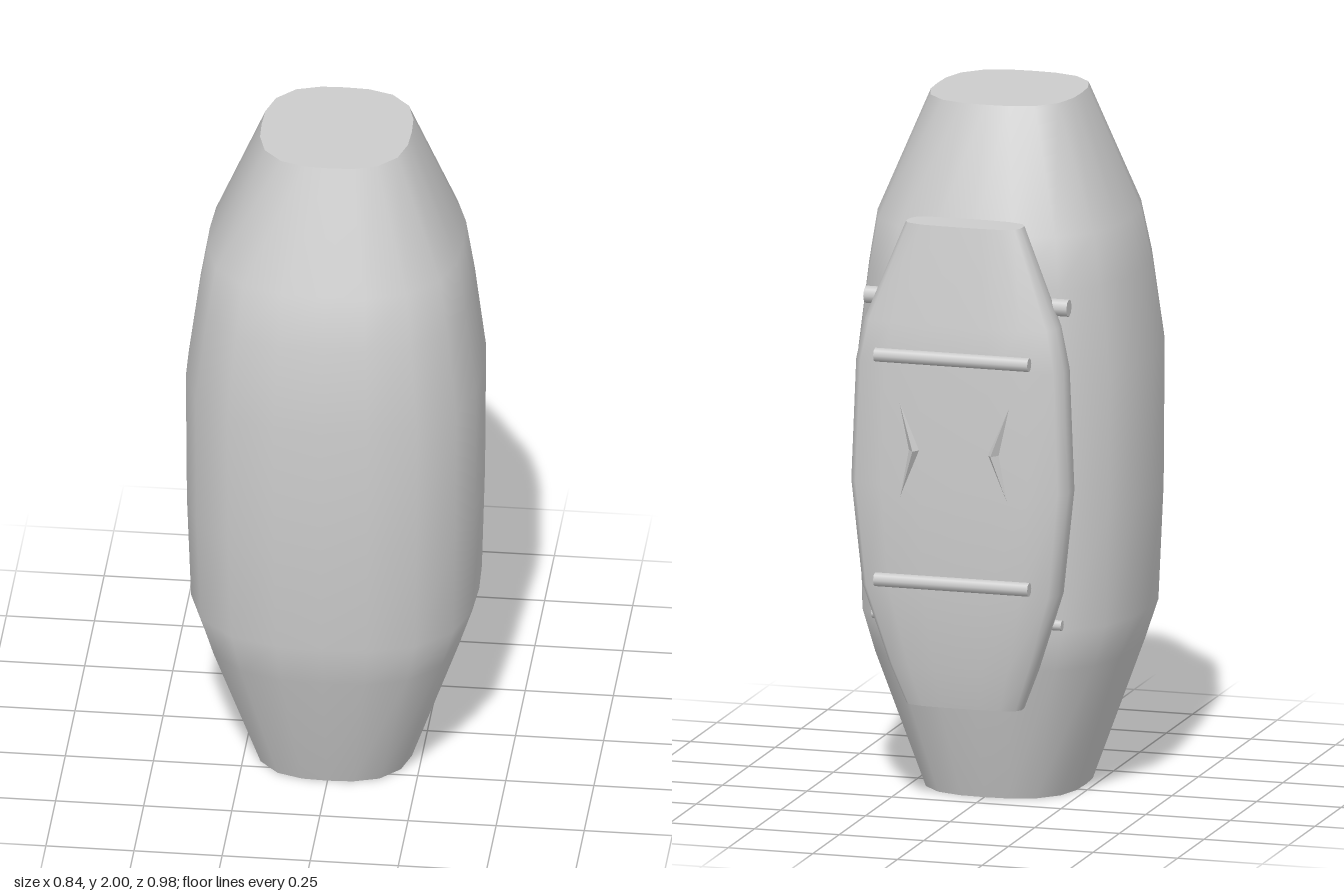
import * as THREE from 'three';

const material = new THREE.MeshStandardMaterial({ color: 0xcccccc });

// Smooth loft of rounded-square sections [y, halfWidth, zBack, zFront], with flat caps
function loft(name, rows, power, sides) {
  const pos = [], index = [];
  const ring = ([y, w, z0, z1]) => {
    const start = pos.length / 3;
    for (let i = 0; i < sides; i++) {
      const a = (i / sides) * Math.PI * 2, c = Math.cos(a), s = Math.sin(a);
      const r = Math.pow(Math.abs(c) ** power + Math.abs(s) ** power, -1 / power);
      pos.push(w * c * r, y, (z0 + z1) / 2 + ((z1 - z0) / 2) * s * r);
    }
    return start;
  };
  const starts = rows.map(ring);
  for (let k = 0; k + 1 < rows.length; k++) {
    for (let i = 0; i < sides; i++) {
      const j = (i + 1) % sides, lo = starts[k], hi = starts[k + 1];
      index.push(lo + i, hi + i, lo + j, lo + j, hi + i, hi + j);
    }
  }
  // caps have their own vertices, so their rims stay sharp
  const bottom = ring(rows[0]), top = ring(rows[rows.length - 1]);
  for (let i = 1; i + 1 < sides; i++) {
    index.push(bottom, bottom + i, bottom + i + 1, top, top + i + 1, top + i);
  }
  const geo = new THREE.BufferGeometry();
  geo.setAttribute('position', new THREE.Float32BufferAttribute(pos, 3));
  geo.setIndex(index);
  geo.computeVertexNormals();
  return part(name, geo);
}

function part(name, geo) {
  const mesh = new THREE.Mesh(geo, material);
  mesh.name = name;
  return mesh;
}

// Horizontal rod along x
function rod(name, radius, x0, x1, y, z) {
  const geo = new THREE.CylinderGeometry(radius, radius, x1 - x0, 8);
  geo.rotateZ(Math.PI / 2);
  geo.translate((x0 + x1) / 2, y, z);
  return part(name, geo);
}

// Slim raised chevron on the back of the pack, pointing to the middle
function chevron(side) {
  const z = -0.455;
  const top = [0.175, 1.235, z], bottom = [0.175, 0.87, z];
  const inner = [0.095, 1.06, z], outer = [0.14, 1.06, z], ridge = [0.115, 1.06, -0.488];
  const tris = [top, inner, ridge, inner, bottom, ridge, bottom, outer, ridge, outer, top, ridge];
  const geo = new THREE.BufferGeometry();
  geo.setAttribute('position', new THREE.Float32BufferAttribute(tris.flat(), 3));
  geo.computeVertexNormals();
  const mesh = new THREE.Mesh(geo, new THREE.MeshStandardMaterial({ color: 0xcccccc, side: THREE.DoubleSide }));
  mesh.scale.x = side;
  mesh.name = side > 0 ? 'leftChevron' : 'rightChevron';
  return mesh;
}

export function createModel() {
  const group = new THREE.Group();
  group.name = 'bodyWithBackpack';

  // Main body: tall barrel with flat ends
  group.add(loft('body', [
    [0, 0.225, -0.175, 0.305],
    [0.4, 0.365, -0.305, 0.445],
    [0.52, 0.405, -0.315, 0.46],
    [0.85, 0.415, -0.32, 0.49],
    [1.25, 0.418, -0.32, 0.49],
    [1.5, 0.385, -0.31, 0.46],
    [1.65, 0.36, -0.285, 0.415],
    [2, 0.213, -0.16, 0.29],
  ], 2.8, 20));

  // Pack on the back
  group.add(loft('backpack', [
    [0.305, 0.17, -0.402, -0.305],
    [0.42, 0.215, -0.43, -0.295],
    [0.65, 0.29, -0.462, -0.29],
    [0.95, 0.322, -0.468, -0.288],
    [1.3, 0.308, -0.465, -0.29],
    [1.42, 0.283, -0.455, -0.293],
    [1.7, 0.17, -0.412, -0.3],
  ], 3.6, 20));

  // Two straps across the back of the pack
  group.add(rod('upperStrap', 0.02, -0.225, 0.23, 1.33, -0.472));
  group.add(rod('lowerStrap', 0.02, -0.225, 0.23, 0.68, -0.472));

  // Mirrored side details
  for (const side of [1, -1]) {
    group.add(chevron(side));
    const upper = rod('upperClip', 0.025, 0.2, 0.3, 1.47, -0.335);
    const lower = rod('lowerClip', 0.015, 0.2, 0.28, 0.55, -0.335);
    upper.scale.x = lower.scale.x = side;
    group.add(upper, lower);
  }
  return group;
}
